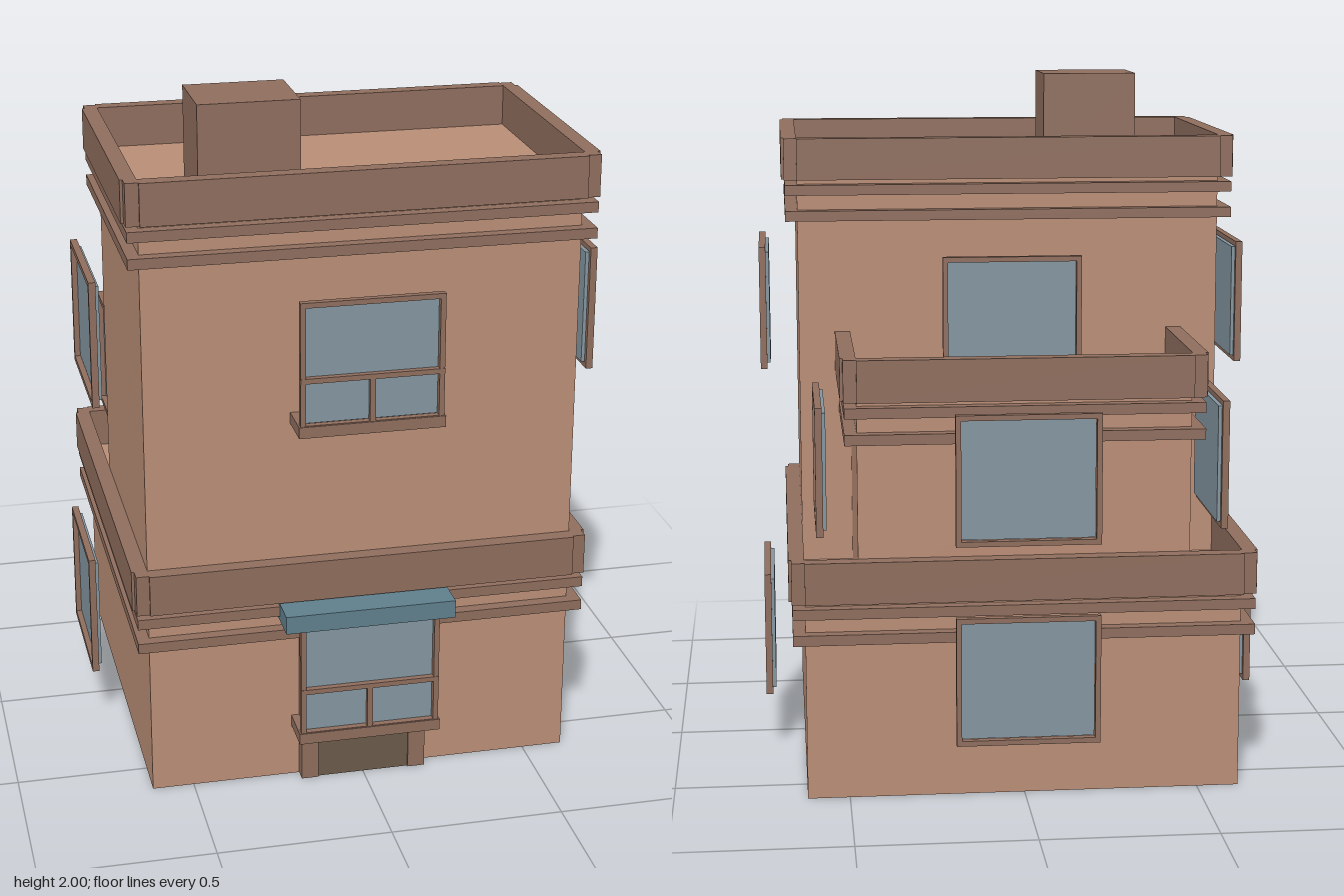
import * as THREE from 'three';

const material = (color) => new THREE.MeshStandardMaterial({ color });
const WALL = material(0xb98d76);
const TRIM = material(0x8e6d5d);
const GLASS = material(0x83959f);
const CANOPY = material(0x5f7f8c);
const DOOR = material(0x6a5a4b);

// Box given by its minimum and maximum on each axis
function box(parent, name, mat, [x0, x1], [y0, y1], [z0, z1]) {
  const mesh = new THREE.Mesh(new THREE.BoxGeometry(x1 - x0, y1 - y0, z1 - z0), mat);
  mesh.position.set((x0 + x1) / 2, (y0 + y1) / 2, (z0 + z1) / 2);
  mesh.name = name;
  parent.add(mesh);
  return mesh;
}

const group = (parent, name) => {
  const g = new THREE.Group();
  g.name = name;
  parent.add(g);
  return g;
};

// One storey: walls, two string courses and a parapet with corner posts
function storey(parent, name, half, z0, z1, y0, y1, hasFront = true) {
  const g = group(parent, name);
  box(g, 'walls', WALL, [-half, half], [y0, y1], [z0, z1]);

  const b = half + 0.035;
  const front = hasFront ? z1 + 0.035 : z1;
  for (const drop of [0.045, 0.12]) {
    box(g, 'stringCourse', TRIM, [-b, b], [y1 - drop, y1 - drop + 0.03], [z0 - 0.035, front]);
  }

  const y = [y1, y1 + 0.12];
  const t = 0.045, p = 0.037;
  box(g, 'parapetBack', TRIM, [-half, half], y, [z0 - t, z0]);
  if (hasFront) box(g, 'parapetFront', TRIM, [-half, half], y, [z1, z1 + t]);
  for (const s of [-1, 1]) {
    const span = (w) => (s > 0 ? [half, half + w] : [-half - w, -half]);
    box(g, 'parapetSide', TRIM, span(t), y, [z0, z1]);
    box(g, 'cornerPost', TRIM, span(p), y, [z0 - p, z0]);
    if (hasFront) box(g, 'cornerPost', TRIM, span(p), y, [z1, z1 + p]);
  }
}

// Window facing +z with its outer face at z = 0 and its bottom at y = 0
function makeWindow(parent, name, withSill) {
  const g = group(parent, name);
  const w = 0.203, h = 0.37, f = 0.015;
  const shape = new THREE.Shape()
    .moveTo(-w, 0).lineTo(w, 0).lineTo(w, h).lineTo(-w, h).closePath();
  shape.holes.push(new THREE.Path()
    .moveTo(-w + f, f).lineTo(-w + f, h - f).lineTo(w - f, h - f).lineTo(w - f, f).closePath());
  const frame = new THREE.Mesh(
    new THREE.ExtrudeGeometry(shape, { depth: 0.02, bevelEnabled: false }), TRIM);
  frame.position.z = -0.02;
  frame.name = 'frame';
  g.add(frame);
  box(g, 'pane', GLASS, [-0.187, 0.187], [0.017, 0.353], [-0.03, -0.016]);
  if (withSill) {
    box(g, 'crossBar', TRIM, [-w, w], [0.138, 0.153], [-0.02, 0.002]);
    box(g, 'mullion', TRIM, [-0.008, 0.008], [0.015, 0.138], [-0.02, 0]);
    box(g, 'sill', TRIM, [-0.208, 0.208], [-0.02, 0.013], [-0.115, 0.003]);
  }
  return g;
}

export function createModel() {
  const house = new THREE.Group();
  house.name = 'house';

  // Stepped storeys
  storey(house, 'groundFloor', 0.62, -0.62, 0.62, 0, 0.58);
  storey(house, 'tower', 0.62, -0.15, 0.62, 0.58, 1.72);
  storey(house, 'backRoom', 0.47, -0.62, -0.15, 0.58, 1.15, false);

  // Chimney
  box(house, 'chimney', TRIM, [-0.435, -0.15], [1.72, 2], [0.27, 0.5]);

  // Front windows with sills
  for (const y of [0.18, 1.13]) makeWindow(house, 'frontWindow', true).position.set(0, y, 0.735);

  // Back windows, one per storey
  for (const [y, z] of [[0.18, -0.735], [0.755, -0.735], [1.13, -0.265]]) {
    const win = makeWindow(house, 'backWindow', false);
    win.position.set(0, y, z);
    win.rotation.y = Math.PI;
  }

  // Side windows, mirrored left and right
  for (const s of [-1, 1]) {
    for (const [x, y, z] of [[0.735, 0.18, 0], [0.585, 0.755, -0.385], [0.735, 1.13, 0.235]]) {
      const win = makeWindow(house, 'sideWindow', false);
      win.position.set(s * x, y, z);
      win.rotation.y = s * Math.PI / 2;
    }
  }

  // Front door with surround, and the canopy above it
  const door = group(house, 'frontDoor');
  for (const s of [-1, 1]) {
    const x = s > 0 ? [0.135, 0.185] : [-0.185, -0.135];
    box(door, 'doorJamb', TRIM, x, [0, 0.52], [0.62, 0.658]);
  }
  box(door, 'doorHead', TRIM, [-0.135, 0.135], [0.47, 0.52], [0.62, 0.658]);
  box(door, 'doorLeaf', DOOR, [-0.135, 0.135], [0, 0.47], [0.62, 0.652]);
  box(door, 'doorLight', GLASS, [-0.09, 0.09], [0.29, 0.45], [0.65, 0.665]);
  box(house, 'canopy', CANOPY, [-0.247, 0.247], [0.52, 0.573], [0.62, 0.742]);

  return house;
}
